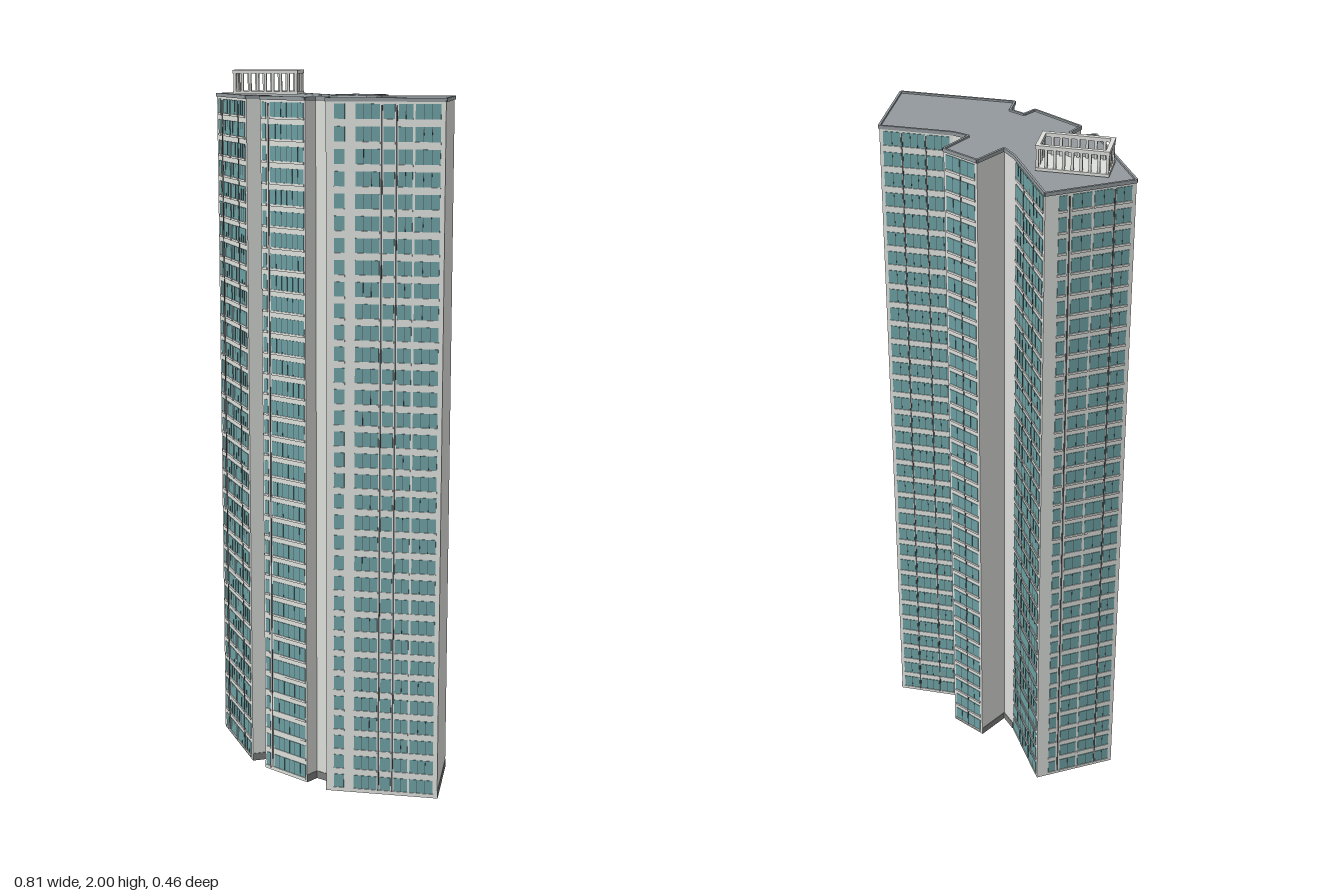
import * as THREE from 'three';
import { mergeGeometries } from 'three/addons/utils/BufferGeometryUtils.js';

const FLOORS = 33, HEIGHT = 1.925, PITCH = HEIGHT / FLOORS;

// Footprint corners (x, z); every wall runs to the next corner with its outside at local +z
const PLAN = [
  [-0.404, -0.05], [-0.19, 0.144], [-0.153, 0.107], [-0.125, 0.12], [-0.131, 0.17], [0.027, 0.206],
  [0.037, 0.165], [0.083, 0.172], [0.101, 0.227], [0.403, 0.132], [0.326, -0.091], [0.137, -0.03],
  [0.09, -0.03], [0.104, -0.13], [-0.006, -0.148], [-0.028, -0.05], [-0.075, -0.078], [-0.247, -0.23],
];

// Window bays and dark vertical slots per wall, as fractions of the wall length
const FACADES = {
  0: { bays: [[0.06, 0.14], [0.22, 0.45], [0.48, 0.71], [0.75, 0.95]], slots: [0.18, 0.73] },
  4: { bays: [[0.04, 0.13], [0.22, 0.97]], slots: [0.18] },
  8: { bays: [[0.07, 0.16], [0.25, 0.455], [0.485, 0.58], [0.61, 0.73], [0.75, 0.96]], slots: [0.47, 0.595] },
  10: { bays: [[0.05, 0.29], [0.32, 0.615], [0.645, 0.95]], slots: [0.305, 0.63] },
  13: { bays: [[0.07, 0.48], [0.52, 0.93]], slots: [0.5] },
  16: { bays: [[0.05, 0.31], [0.34, 0.635], [0.665, 0.95]], slots: [0.325, 0.65] },
  17: { bays: [[0.15, 0.24], [0.3, 0.51], [0.54, 0.75], [0.78, 0.95]], slots: [0.27, 0.765] },
};

function mat(name, color) {
  const m = new THREE.MeshStandardMaterial({ color });
  m.name = name;
  return m;
}

function box(w, h, d, x, y, z) {
  return new THREE.BoxGeometry(w, h, d).translate(x, y, z);
}

function named(name, geometry, material) {
  const mesh = new THREE.Mesh(geometry, material);
  mesh.name = name;
  return mesh;
}

export function createModel() {
  const wall = mat('wall light grey', 0xdddfdb);
  const glass = mat('window teal', 0x6c9fa2);
  const dark = mat('dark frame', 0x505354);
  const roof = mat('roof grey', 0x92999c);
  const plinthGrey = mat('plinth grey', 0x7c7e7e);
  const underside = mat('underside grey', 0xaaaaaa);

  const model = new THREE.Group();
  model.name = 'apartmentTower';

  // Tower body and roof deck, both raised from the footprint
  const shape = new THREE.Shape(PLAN.map(([x, z]) => new THREE.Vector2(x, -z)));
  const raise = (depth, y) =>
    new THREE.ExtrudeGeometry(shape, { depth, bevelEnabled: false }).rotateX(-Math.PI / 2).translate(0, y, 0);
  model.add(named('towerBody', raise(HEIGHT, 0), [underside, wall]));
  model.add(named('roofDeck', raise(0.004, HEIGHT), roof));

  // Walls: roof rim, then either windows or a plinth
  PLAN.forEach(([ax, az], i) => {
    const [bx, bz] = PLAN[(i + 1) % PLAN.length];
    const length = Math.hypot(bx - ax, bz - az);
    const side = new THREE.Group();
    side.name = 'wallSide' + (i + 1);
    side.position.set(ax, 0, az);
    side.rotation.y = -Math.atan2(bz - az, bx - ax);
    model.add(side);

    side.add(named('roofRim', box(length, 0.01, 0.006, length / 2, HEIGHT + 0.004, 0), roof));

    const facade = FACADES[i];
    if (!facade) {
      side.add(named('plinth', box(length, 0.022, 0.002, length / 2, 0.0112, 0.0005), plinthGrey));
      return;
    }

    const mullions = [], panes = [], ledges = [];
    for (let f = 0; f < FLOORS; f++) {
      const y = (f + 0.5) * PITCH + 0.003;
      for (const [u0, u1] of facade.bays) {
        const w = (u1 - u0) * length, x = u0 * length, mid = x + w / 2;
        panes.push(box(w, 0.039, 0.002, mid, y, 0.0005));
        ledges.push(box(w + 0.002, 0.006, 0.004, mid, y - 0.0228, 0.001));
        // Thin bars dividing the glass
        const n = Math.max(1, Math.round(w / 0.022));
        for (let k = 1; k < n; k++) {
          mullions.push(box(0.0014, 0.039, 0.001, x + (k * w) / n, y, 0.0016));
        }
      }
    }
    side.add(named('windowPanes', mergeGeometries(panes), glass));
    side.add(named('windowMullions', mergeGeometries(mullions), dark));
    side.add(named('windowLedges', mergeGeometries(ledges), wall));

    const slots = facade.slots.map((u) => box(0.004, HEIGHT - 0.02, 0.002, u * length, HEIGHT / 2, 0.0004));
    side.add(named('verticalSlots', mergeGeometries(slots), dark));
  });

  // Open rooftop frame: floor plate, posts and a top ring
  const frame = new THREE.Group();
  frame.name = 'rooftopFrame';
  frame.position.set(-0.2375, HEIGHT + 0.004, -0.059);
  frame.rotation.y = 0.305;
  model.add(frame);
  const L = 0.186, W = 0.092, TOP = 0.071, RIM = 0.011;
  const parts = [box(L, 0.008, W, 0, 0.008, 0)];
  for (const s of [-1, 1]) {
    parts.push(box(L, 0.01, RIM, 0, TOP - 0.005, s * (W - RIM) / 2));
    parts.push(box(RIM, 0.01, W - 2 * RIM, s * (L - RIM) / 2, TOP - 0.005, 0));
    for (let k = 0; k < 9; k++) {
      parts.push(box(0.007, TOP - 0.016, 0.007, (k / 8 - 0.5) * (L - 0.01), TOP / 2, s * (W / 2 - 0.006)));
    }
    for (let k = 1; k < 4; k++) {
      parts.push(box(0.007, TOP - 0.016, 0.007, s * (L / 2 - 0.006), TOP / 2, (k / 4 - 0.5) * (W - 0.01)));
    }
  }
  frame.add(named('frameBars', mergeGeometries(parts), wall));

  return model;
}
